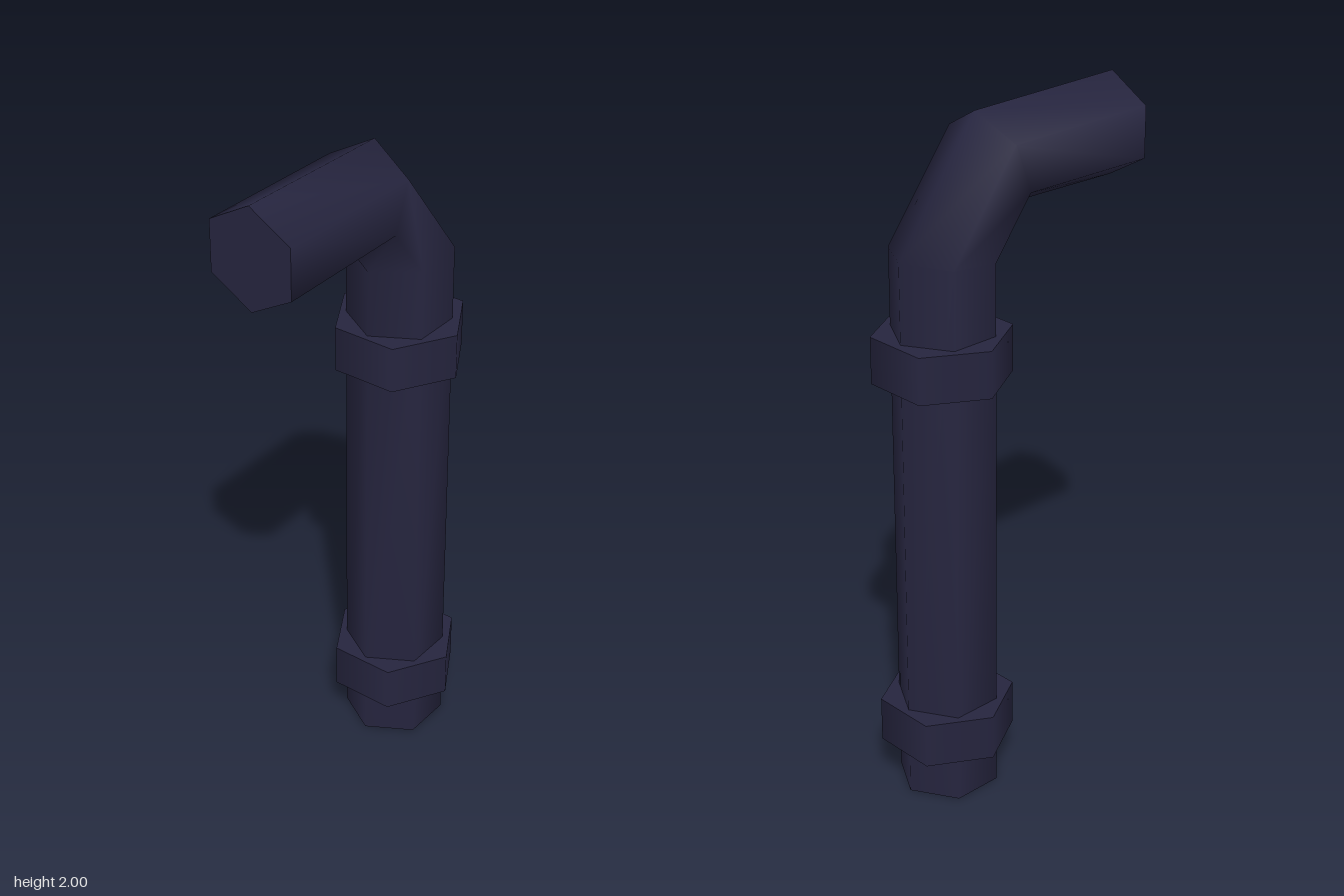
import * as THREE from 'three';

const SIDES = 6;

// Smooth hexagonal tube through rings given by their outer and inner corners [y, z]
function bentTube(rings) {
  const pos = [], index = [];
  const addRing = ({ outer, inner, r }) => {
    const start = pos.length / 3;
    for (let k = 0; k < SIDES; k++) {
      const a = (k / SIDES) * Math.PI * 2, t = (1 - Math.cos(a)) / 2;
      pos.push(
        r * Math.sin(a),
        THREE.MathUtils.lerp(outer[0], inner[0], t),
        THREE.MathUtils.lerp(outer[1], inner[1], t)
      );
    }
    return start;
  };

  // Walls
  const starts = rings.map(addRing);
  for (let i = 0; i < starts.length - 1; i++) {
    for (let k = 0; k < SIDES; k++) {
      const n = (k + 1) % SIDES;
      const a = starts[i] + k, b = starts[i] + n;
      const c = starts[i + 1] + k, d = starts[i + 1] + n;
      index.push(a, c, b, b, c, d);
    }
  }

  // Flat end caps with their own corners
  const first = addRing(rings[0]);
  const last = addRing(rings[rings.length - 1]);
  for (let k = 1; k < SIDES - 1; k++) {
    index.push(first, first + k, first + k + 1);
    index.push(last, last + k + 1, last + k);
  }

  const geo = new THREE.BufferGeometry();
  geo.setAttribute('position', new THREE.Float32BufferAttribute(pos, 3));
  geo.setIndex(index);
  geo.computeVertexNormals();
  return geo;
}

export function createModel() {
  const group = new THREE.Group();
  group.name = 'drainPipe';
  const darkMetal = new THREE.MeshStandardMaterial({ color: 0x26253f });
  darkMetal.name = 'dark metal';

  // Upright pipe, chamfered elbow and forward spout
  const r = 0.149;
  const pipe = new THREE.Mesh(bentTube([
    { outer: [0, -0.383], inner: [0, -0.084], r },
    { outer: [1.64, -0.38], inner: [1.61, -0.082], r },
    { outer: [1.99, -0.11], inner: [1.71, -0.005], r },
    { outer: [2, 0.402], inner: [1.703, 0.402], r },
  ]), darkMetal);
  pipe.name = 'pipe';
  group.add(pipe);

  // Hexagonal collars, corners pointing sideways
  const collarGeo = new THREE.CylinderGeometry(0.195, 0.195, 0.136, SIDES);
  collarGeo.rotateY(Math.PI / 6);
  [['lowerCollar', 0.21], ['upperCollar', 1.343]].forEach(([name, y]) => {
    const collar = new THREE.Mesh(collarGeo, darkMetal);
    collar.name = name;
    collar.position.set(0, y, -0.234);
    group.add(collar);
  });

  return group;
}
